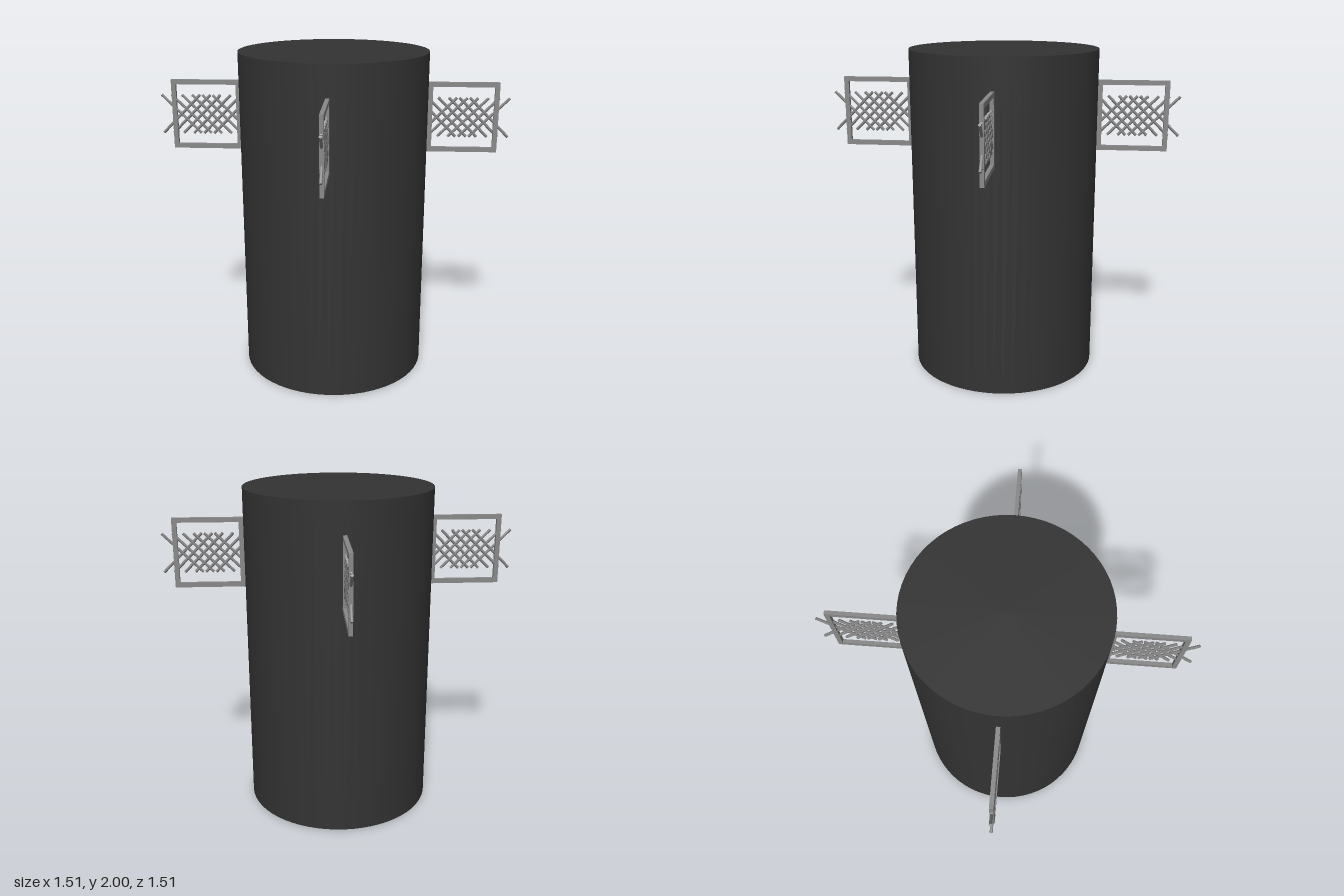
import * as THREE from 'three';

export function createModel() {
  const model = new THREE.Group();
  const bodyMat = new THREE.MeshStandardMaterial({ color: 0x333333 });
  bodyMat.name = 'charcoal';
  const finMat = new THREE.MeshStandardMaterial({ color: 0x888888 });
  finMat.name = 'grey metal';

  const add = (parent, name, geometry, material, x, y, z = 0) => {
    const mesh = new THREE.Mesh(geometry, material);
    mesh.name = name;
    mesh.position.set(x, y, z);
    parent.add(mesh);
    return mesh;
  };

  // Main cylindrical body
  add(model, 'body', new THREE.CylinderGeometry(0.57, 0.57, 2, 64), bodyMat, 0, 1, 0);

  // Square frame and crossed-rod lattice, shared by the four fins
  const size = 0.425, bar = 0.028, depth = 0.023;
  const centreR = 0.782, centreY = 1.603;
  const rail = new THREE.BoxGeometry(size, bar, depth);
  const post = new THREE.BoxGeometry(bar, size - 2 * bar, depth);
  const rod = new THREE.CylinderGeometry(0.0085, 0.0085, 0.335, 8);
  const rods = 6, spacing = 0.063;

  for (let k = 0; k < 4; k++) {
    const fin = new THREE.Group();
    fin.name = 'gridFin' + (k + 1);
    fin.rotation.y = Math.PI / 4 + k * Math.PI / 2;
    const off = (size - bar) / 2;
    for (const s of [-1, 1]) {
      add(fin, s > 0 ? 'topRail' : 'bottomRail', rail, finMat, centreR, centreY + s * off);
      add(fin, s > 0 ? 'outerPost' : 'innerPost', post, finMat, centreR + s * off, centreY);
      // Diagonal rods leaning one way, then the other
      for (let i = 0; i < rods; i++) {
        const r = centreR + (i - (rods - 1) / 2) * spacing;
        add(fin, 'latticeRod', rod, finMat, r, centreY).rotation.z = s * Math.PI / 4;
      }
    }
    model.add(fin);
  }
  return model;
}
